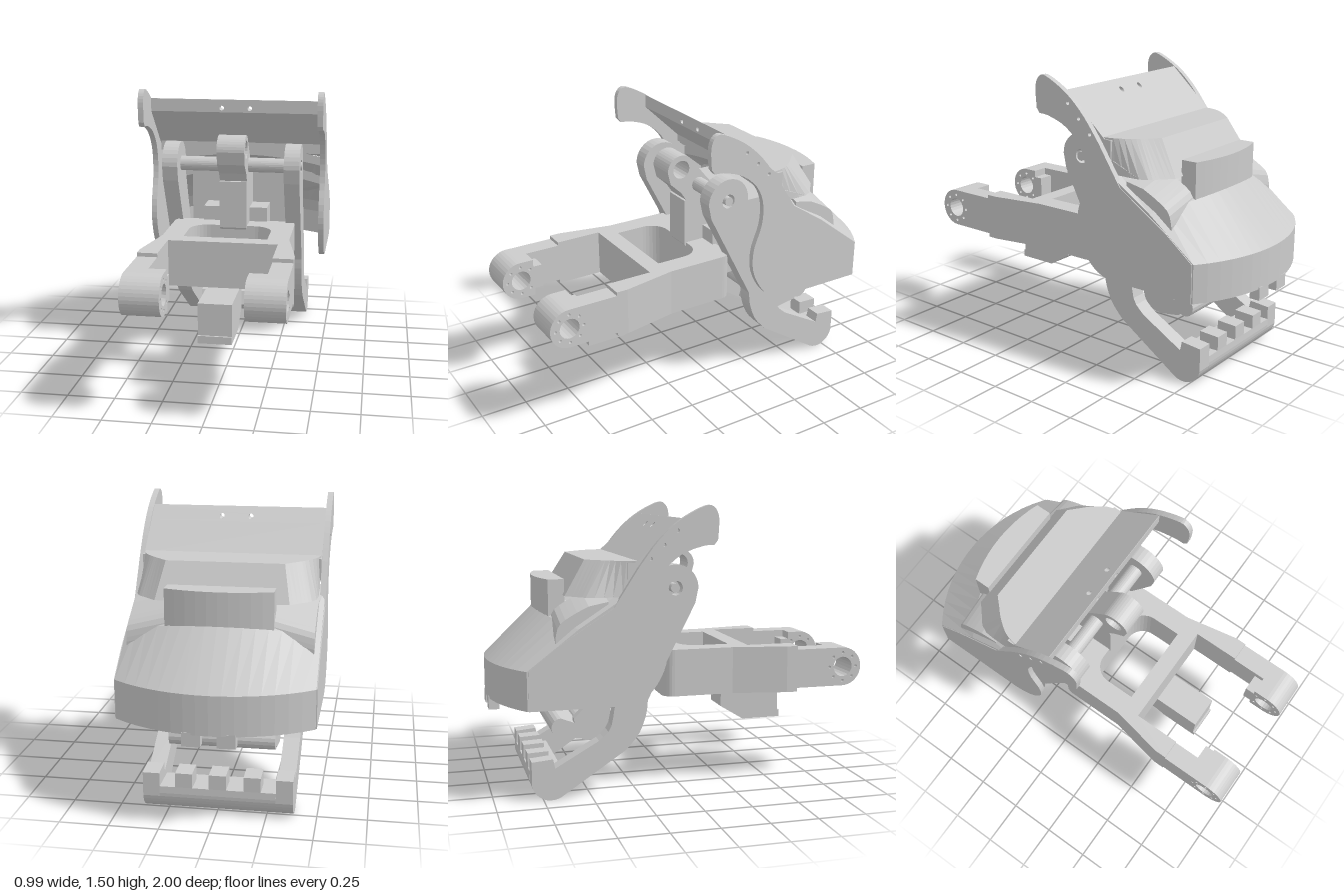
import * as THREE from 'three';

const material = new THREE.MeshStandardMaterial({ color: 0xcccccc, flatShading: true, side: THREE.DoubleSide });
const vec = (pts) => pts.map(([a, b]) => new THREE.Vector2(a, b));
const spline = (pts, n) => new THREE.SplineCurve(vec(pts)).getPoints(n).map((p) => [p.x, p.y]);
const arc = (cx, cy, r, from, to, n = 14) =>
  Array.from({ length: n + 1 }, (_, i) => {
    const a = THREE.MathUtils.degToRad(from + ((to - from) * i) / n);
    return [cx + r * Math.cos(a), cy + r * Math.sin(a)];
  });

export function createModel() {
  const model = new THREE.Group();

  function add(name, geometry) {
    geometry.computeVertexNormals();
    const mesh = new THREE.Mesh(geometry, material);
    mesh.name = name;
    model.add(mesh);
    return mesh;
  }
  function extrude(pts, holes, depth, steps = 1) {
    const shape = new THREE.Shape(vec(pts));
    for (const [a, b, r] of holes) shape.holes.push(new THREE.Path(vec(arc(a, b, r, 0, 342, 19))));
    return new THREE.ExtrudeGeometry(shape, { depth, steps, bevelEnabled: false });
  }
  // Side profile of [z, y] points, run from x0 to x1
  const side = (pts, x0, x1, holes = [], steps = 1) =>
    extrude(pts.map(([z, y]) => [-z, y]), holes.map(([z, y, r]) => [-z, y, r]), x1 - x0, steps)
      .rotateY(Math.PI / 2).translate(x0, 0, 0);
  // Plan of [x, z] points, run from y0 to y1
  const plan = (pts, y0, y1) =>
    extrude(pts.map(([x, z]) => [x, -z]), [], y1 - y0).rotateX(-Math.PI / 2).translate(0, y0, 0);
  const box = (x0, x1, y0, y1, z0, z1) =>
    new THREE.BoxGeometry(x1 - x0, y1 - y0, z1 - z0).translate((x0 + x1) / 2, (y0 + y1) / 2, (z0 + z1) / 2);
  const rod = (r, x0, x1, y, z) =>
    new THREE.CylinderGeometry(r, r, x1 - x0, 24).rotateZ(Math.PI / 2).translate((x0 + x1) / 2, y, z);
  function move(geometry, rule) {
    const p = geometry.attributes.position;
    const v = new THREE.Vector3();
    for (let i = 0; i < p.count; i++) {
      rule(v.fromBufferAttribute(p, i));
      p.setXYZ(i, v.x, v.y, v.z);
    }
    return geometry;
  }
  // Same side profile on the left and on the right
  function pair(name, pts, x0, x1, holes) {
    add(name + 'Left', side(pts, x0, x1, holes));
    add(name + 'Right', side(pts, -x1, -x0, holes));
  }

  // Base frame: two half plans joined on the centre line, leaving a window
  for (const s of [1, -1]) {
    const half = [
      [0, -0.1], [0.28, -0.1], ...arc(0.28, -0.04, 0.06, -90, 0, 6), [0.34, 0.28], [0.395, 0.57], [0.395, 0.63],
      [0.29, 0.63], [0.29, 0.38], [0, 0.38], [0, 0.29], [0.225, 0.29], ...arc(0.125, 0.13, 0.1, 0, -90, 8), [0, 0.03],
    ];
    add(s > 0 ? 'frameLeft' : 'frameRight', plan(half.map(([x, z]) => [s * x, z]), 0.5, 0.75));
  }

  // Fork ends with a drilled eye
  const boltHoles = Array.from({ length: 8 }, (_, i) => {
    const a = (i * Math.PI) / 4;
    return [0.895 + 0.077 * Math.cos(a), 0.625 + 0.077 * Math.sin(a), 0.008];
  });
  const eye = [[0.895, 0.625, 0.054], ...boltHoles];
  const tip = arc(0.895, 0.625, 0.105, 90, -90, 18);
  pair('forkEnd', [[0.62, 0.73], ...tip, [0.62, 0.52]], 0.29, 0.395, eye);
  pair('forkEye', [[0.82, 0.73], ...tip, [0.82, 0.52]], 0.2, 0.29, eye);
  pair('forkStep', [[0.77, 0.69], [0.82, 0.69], [0.82, 0.56], [0.77, 0.56]], 0.2, 0.29);

  // Block hanging under the frame
  add('underBlock', side([[0.64, 0.5], [0.64, 0.33], [0.65, 0.33], [0.65, 0.29], [0.43, 0.29], [0.3, 0.37], [0.3, 0.5]],
    -0.085, 0.09));

  // Centre column with the hook that holds the cross rod
  add('column', side([[0.04, 0.74], [0.04, 1.0], [-0.02, 1.01], [-0.24, 1.01], [-0.24, 0.6], [-0.08, 0.6]], -0.07, 0.08));
  add('hook', side([[0.02, 0.99], [0.06, 1.05], [0.125, 1.11], ...arc(0.06, 1.18, 0.082, 0, 150, 14),
    [-0.11, 1.1], [-0.2, 1.0]], -0.07, 0.08, [[0.058, 1.183, 0.05]]));
  add('crossRod', rod(0.04, -0.31, 0.3, 1.08, -0.05));

  // Lower jaw arms, cranked from the pivot down to the toothed bar
  const jawArm = [
    ...arc(-0.05, 1.08, 0.122, 0, 180, 16).map(([z, y]) => [z, y]),
    [-0.17, 1.0], [-0.27, 0.75], [-0.36, 0.55], ...spline([[-0.38, 0.45], [-0.4, 0.36], [-0.46, 0.3]], 5),
    [-0.69, 0.17], [-0.7, 0.22], [-0.81, 0.21],
    ...arc(-0.71, 0.105, 0.102, 190, 300, 10),
    ...spline([[-0.32, 0.24], [-0.25, 0.32], [-0.21, 0.42], [-0.2, 0.5]], 8), [0.055, 1.0],
  ];
  add('jawArmLeft', side(jawArm, 0.285, 0.37, [[-0.05, 1.08, 0.038]]));
  add('jawArmRight', side(jawArm, -0.385, -0.3, [[-0.05, 1.08, 0.038]]));
  for (const x of [0.3, -0.38]) add('pivotPin', rod(0.024, x, x + 0.075, 1.08, -0.05));
  add('jawBar', side([[-0.64, 0.14], [-0.81, 0.14], ...arc(-0.71, 0.105, 0.102, 180, 300, 12), [-0.61, 0.06]],
    -0.3, 0.285));
  for (const x of [-0.182, -0.008, 0.162])
    add('jawTooth', side([[-0.7, 0.13], [-0.7, 0.22], [-0.81, 0.215], [-0.81, 0.13]], x - 0.043, x + 0.043));

  // Inner link: two lugs, a round bar and a tongue
  const lug = [[-0.38, 0.62], [-0.38, 0.4], ...arc(-0.48, 0.385, 0.1, 10, -100, 12), [-0.57, 0.31], [-0.57, 0.4],
    [-0.47, 0.5], [-0.47, 0.62]];
  add('linkLugLeft', side(lug, 0.21, 0.262));
  add('linkLugRight', side(lug, -0.28, -0.225));
  add('linkBar', rod(0.055, -0.225, 0.21, 0.32, -0.49));
  add('linkTongue', side([[-0.47, 0.28], [-0.6, 0.3], ...arc(-0.64, 0.355, 0.05, -60, -270, 10).map(([z, y]) => [z, y]),
    [-0.55, 0.37]], -0.28, 0.262));

  // Side plates with a curled horn at the top
  const plate = [
    ...spline([[0.14, 1.33], [0.145, 1.44], [0.12, 1.495], [0.07, 1.5], [-0.06, 1.43], [-0.17, 1.33], [-0.27, 1.2]], 24),
    [-0.4, 1.0], [-0.68, 0.82], [-0.83, 0.7], [-0.83, 0.5],
    ...spline([[-0.33, 0.5], [-0.25, 0.53], [-0.18, 0.6], [-0.13, 0.71], [-0.13, 0.83], [-0.175, 0.96],
      [-0.18, 1.08], [-0.14, 1.18], [-0.05, 1.26], [0.06, 1.3], [0.12, 1.305]], 34),
  ];
  pair('sidePlate', plate, 0.465, 0.495, [[-0.07, 1.38, 0.01], [-0.14, 1.31, 0.01], [-0.21, 1.24, 0.01]]);

  // Hood: hollow profile whose rear is bowed in plan
  const bow = (x) => 0.82 - Math.sqrt(0.82 * 0.82 - x * x);
  add('hood', move(side([[-1, 0.5], [-1, 0.7], [-0.74, 0.96], [-0.3, 1.14], [-0.3, 1.09], [-0.68, 0.9], [-0.88, 0.72],
    [-0.93, 0.64], [-0.93, 0.5]], -0.49, 0.49, [], 16), (v) => {
    v.z += bow(v.x) * THREE.MathUtils.clamp((-0.3 - v.z) / 0.4, 0, 1);
    if (v.y > 0.8) v.y -= 0.25 * v.x * v.x;
  }));
  for (const x of [-0.085, 0.085])
    add('hoodTooth', box(x - 0.045, x + 0.045, 0.44, 0.51, -0.995, -0.94));

  // Raised bowed block on the hood
  add('hoodBlock', move(side([[-0.74, 0.9], [-0.74, 1.13], [-0.61, 1.13], [-0.61, 0.9]], -0.27, 0.27, [], 10),
    (v) => { if (v.z < -0.7) v.z += bow(v.x); }));

  // Fairings beside the block
  const fairing = [[-0.69, 0.8], ...spline([[-0.69, 0.9], [-0.67, 0.97], [-0.6, 1.02], [-0.52, 1.06]], 8),
    [-0.42, 1.08], [-0.42, 0.95]];
  add('fairingLeft', move(side(fairing, 0.27, 0.465), (v) => { if (v.x > 0.4 && v.y > 0.88) v.y -= 0.05; }));
  add('fairingRight', move(side(fairing, -0.465, -0.27), (v) => { if (v.x < -0.4 && v.y > 0.88) v.y -= 0.05; }));

  // Shelf with rounded rear corners, flaring toward its foot
  const corner = spline([[0.46, -0.28], [0.44, -0.35], [0.39, -0.42], [0.35, -0.46], [0.3, -0.51]], 12);
  add('shelf', move(plan([[0.46, -0.25], ...corner, ...corner.map(([x, z]) => [-x, z]).reverse(), [-0.46, -0.25]],
    1.05, 1.23), (v) => {
    if (v.y > 1.1) return;
    if (v.z < -0.3) v.z -= 0.11 * Math.min(1, (-0.3 - v.z) / 0.12);
    else v.y = 1.13;
    v.x = THREE.MathUtils.clamp(v.x * 1.12, -0.46, 0.46);
  }));

  // Sloping visor with a drilled lip between the horns
  const slope = (y) => -0.04 - (1.44 - y) * 1.1;
  const lip = extrude([[-0.465, 1.37], [0.465, 1.37], [0.465, 1.44], [-0.465, 1.44]],
    [[-0.07, 1.393, 0.013], [0.085, 1.393, 0.013]], 1);
  add('visorLip', move(lip, (v) => { v.z = v.z > 0.5 ? -0.038 : slope(v.y); }));
  add('visor', side([[-0.038, 1.37], [slope(1.37), 1.37], [slope(1.22), 1.22], [-0.32, 1.22], [-0.32, 1.11],
    [-0.27, 1.11], [-0.27, 1.15]], -0.465, 0.465));

  // Housing behind the column
  add('housing', box(-0.27, 0.27, 0.6, 1.01, -0.62, -0.22));
  add('housingStep', box(-0.18, 0.18, 0.55, 0.83, -0.24, -0.08));

  return model;
}
